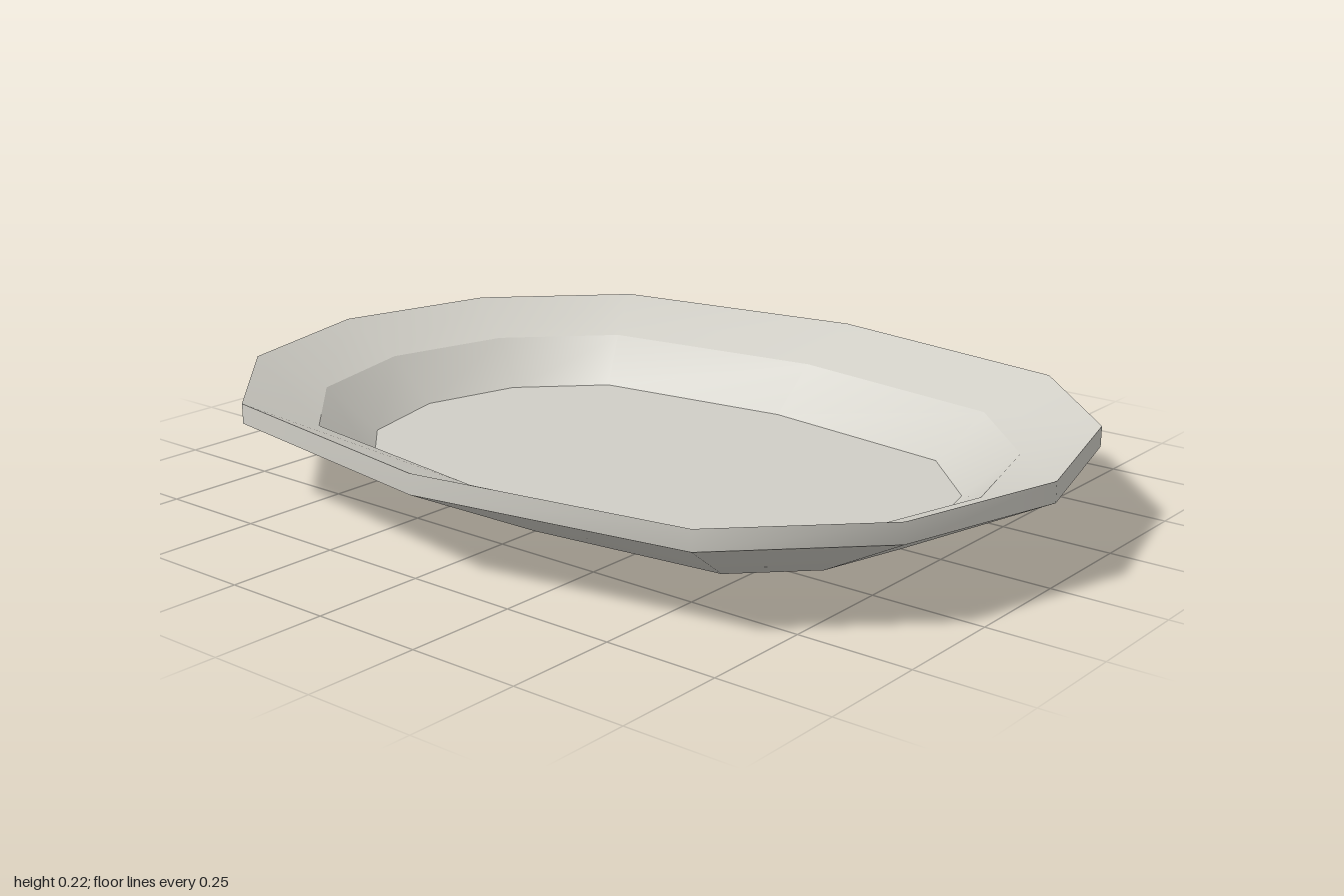
import * as THREE from 'three';

const SIDES = 12;

// Twelve-sided oval: a ring of radius r whose two halves are pulled apart by `stretch`
function ovalRing([r, stretch, y]) {
  const points = [];
  for (let i = 0; i < SIDES; i++) {
    const a = (i / SIDES) * Math.PI * 2;
    const c = Math.cos(a);
    const side = Math.abs(c) < 1e-6 ? 0 : Math.sign(c);
    points.push(r * c + side * stretch, y, r * Math.sin(a));
  }
  return points;
}

// Skin joining successive rings, smooth within itself and sharp at its borders
function skin(name, rings, material) {
  const index = [];
  for (let k = 0; k < rings.length - 1; k++) {
    for (let i = 0; i < SIDES; i++) {
      const j = (i + 1) % SIDES;
      const a = k * SIDES + i, a1 = k * SIDES + j;
      const b = a + SIDES, b1 = a1 + SIDES;
      index.push(a, b, a1, b, b1, a1);
    }
  }
  const geometry = new THREE.BufferGeometry();
  geometry.setAttribute('position', new THREE.Float32BufferAttribute(rings.flatMap(ovalRing), 3));
  geometry.setIndex(index);
  geometry.computeVertexNormals();
  const mesh = new THREE.Mesh(geometry, material);
  mesh.name = name;
  return mesh;
}

export function createModel() {
  const group = new THREE.Group();
  group.name = 'ovalDish';
  const ceramic = new THREE.MeshStandardMaterial({ color: 0xd0cec6 });
  ceramic.name = 'warm grey ceramic';

  // Cross-section rings: radius, stretch, height
  const baseCentre = [0, 0, 0];
  const base = [0.4, 0.255, 0];
  const rimLow = [0.757, 0.243, 0.177];
  const rimTop = [0.757, 0.243, 0.222];
  const shoulder = [0.589, 0.247, 0.153];
  const floorEdge = [0.467, 0.251, 0.053];
  const floorCentre = [0, 0, 0.053];

  group.add(
    skin('underside', [baseCentre, base, rimLow], ceramic),
    skin('rimEdge', [rimLow, rimTop], ceramic),
    skin('rimSlope', [rimTop, shoulder], ceramic),
    skin('innerWall', [shoulder, floorEdge], ceramic),
    skin('dishFloor', [floorEdge, floorCentre], ceramic),
  );
  return group;
}
